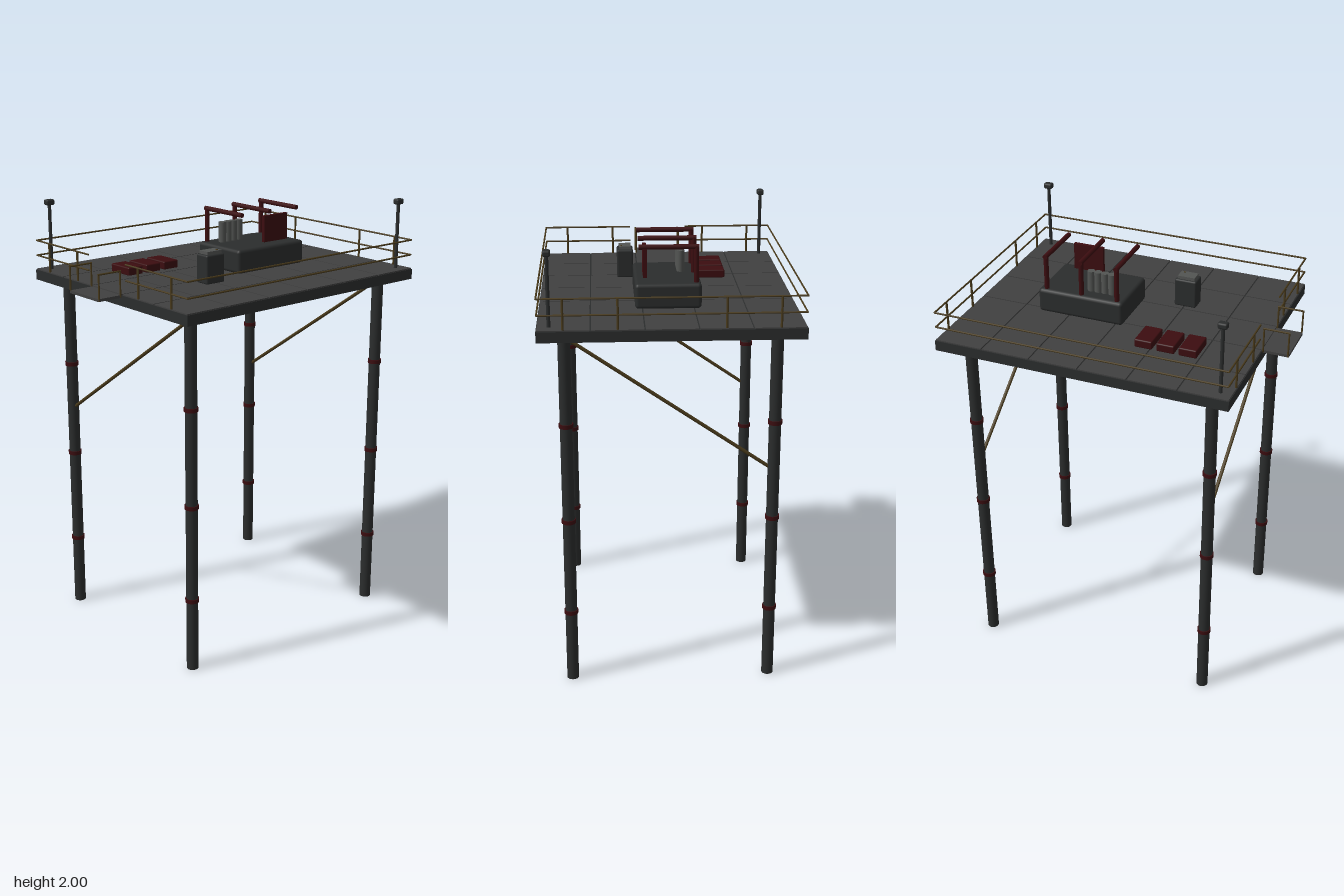
import * as THREE from 'three';
import { RoundedBoxGeometry } from 'three/addons/geometries/RoundedBoxGeometry.js';

const mat = (name, color) => {
  const m = new THREE.MeshStandardMaterial({ color });
  m.name = name;
  return m;
};

export function createModel() {
  const steel = mat('dark steel', 0x2b2d2d);
  const plate = mat('deck grey', 0x404040);
  const grey = mat('pipe grey', 0x535553);
  const red = mat('dark red', 0x3c0d10);
  const olive = mat('dark yellow', 0x4a3b1c);

  const model = new THREE.Group();
  model.name = 'platform';

  const group = (name) => {
    const g = new THREE.Group();
    g.name = name;
    model.add(g);
    return g;
  };
  const add = (parent, name, geo, material, x, y, z) => {
    const m = new THREE.Mesh(geo, material);
    m.name = name;
    m.position.set(x, y, z);
    parent.add(m);
    return m;
  };
  const box = (parent, name, material, w, h, d, x, y, z) =>
    add(parent, name, new THREE.BoxGeometry(w, h, d), material, x, y, z);
  const rounded = (parent, name, material, w, h, d, r, x, y, z) =>
    add(parent, name, new RoundedBoxGeometry(w, h, d, 2, r), material, x, y, z);
  // Round bar between two points
  const bar = (parent, name, material, r, a, b, sides = 8) => {
    const p = new THREE.Vector3(...a), q = new THREE.Vector3(...b);
    const dir = q.clone().sub(p);
    const m = add(parent, name, new THREE.CylinderGeometry(r, r, dir.length(), sides), material, 0, 0, 0);
    m.position.copy(p).add(q).multiplyScalar(0.5);
    m.quaternion.setFromUnitVectors(new THREE.Vector3(0, 1, 0), dir.normalize());
    return m;
  };

  const X0 = -0.61, X1 = 0.725, Z = 0.555, TOP = 1.68;

  // Deck slab with separate floor plates
  const deck = group('deck');
  box(deck, 'deckSlab', steel, X1 - X0, 0.046, Z * 2, (X0 + X1) / 2, 1.652, 0);
  const tw = (X1 - X0) / 6, td = (Z * 2) / 5;
  for (let i = 0; i < 6; i++) for (let j = 0; j < 5; j++) {
    box(deck, 'floorPlate', plate, tw - 0.006, 0.005, td - 0.006,
      X0 + (i + 0.5) * tw, TOP - 0.0025, -Z + (j + 0.5) * td);
  }

  // Legs with collars, and one diagonal brace on each side
  const legs = group('legs');
  for (const x of [-0.505, 0.615]) {
    for (const z of [-0.445, 0.445]) {
      bar(legs, 'leg', steel, 0.0265, [x, 0, z], [x, 1.63, z], 20);
      for (const y of [0.34, 0.785, 1.23]) {
        bar(legs, 'legCollar', red, 0.031, [x, y - 0.009, z], [x, y + 0.009, z], 20);
      }
    }
    bar(legs, 'brace', olive, 0.008, [x, 1.615, 0.435], [x, 1.015, -0.435]);
  }

  // Guard rails: long runs front and back, gap on the right side for the step
  const rails = group('guardRails');
  const rx0 = X0 + 0.006, rx1 = X1 - 0.008, rz = 0.55;
  for (const y of [1.742, 1.811]) {
    for (const z of [-rz, rz]) bar(rails, 'longRail', olive, 0.004, [rx0, y, z], [rx1, y, z], 6);
    bar(rails, 'sideRail', olive, 0.004, [rx1, y, -rz], [rx1, y, rz], 6);
    for (const s of [-1, 1]) bar(rails, 'sideRail', olive, 0.004, [rx0, y, s * rz], [rx0, y, s * 0.135], 6);
  }
  for (const x of [rx0, rx1]) for (const z of [-0.445, -0.222, 0.222, 0.445]) {
    bar(rails, 'railPost', olive, 0.005, [x, TOP, z], [x, 1.811, z], 6);
  }

  // Side landing with a hoop at each end
  const landing = group('sideLanding');
  box(landing, 'landingFloor', plate, 0.118, 0.012, 0.212, -0.667, 1.67, 0);
  for (const z of [-0.106, 0.106]) {
    for (const x of [-0.722, -0.612]) bar(landing, 'hoopPost', olive, 0.004, [x, 1.666, z], [x, 1.78, z], 6);
    bar(landing, 'hoopTop', olive, 0.004, [-0.726, 1.78, z], [-0.608, 1.78, z], 6);
  }

  // Lamp poles on opposite corners
  const lamps = group('lampPoles');
  for (const [x, z] of [[-0.557, -0.503], [0.669, 0.503]]) {
    bar(lamps, 'lampPole', steel, 0.008, [x, TOP, z], [x, 1.98, z], 10);
    rounded(lamps, 'lampHead', steel, 0.042, 0.026, 0.032, 0.008, x, 1.987, z);
  }

  // Machine block with overhead arms, panel and pipe row
  const machine = group('machine');
  rounded(machine, 'machineBase', steel, 0.402, 0.11, 0.285, 0.016, 0.224, 1.733, 0);
  for (const x of [0.056, 0.224, 0.391]) {
    bar(machine, 'armPost', red, 0.011, [x, 1.78, -0.12], [x, 1.945, -0.12], 10);
    bar(machine, 'arm', red, 0.011, [x, 1.941, -0.131], [x, 1.941, 0.125], 10);
  }
  box(machine, 'panel', red, 0.142, 0.122, 0.017, 0.28, 1.858, 0.097);
  for (let i = 0; i < 4; i++) {
    const x = 0.101 + i * 0.033;
    bar(machine, 'pipe', grey, 0.0175, [x, 1.78, -0.064], [x, 1.882, -0.064], 16);
  }

  // Control cabinet
  const cabinet = group('cabinet');
  rounded(cabinet, 'cabinetBody', steel, 0.102, 0.13, 0.074, 0.008, -0.168, 1.743, 0.172);
  box(cabinet, 'cabinetTop', grey, 0.08, 0.016, 0.054, -0.168, 1.814, 0.172);
  box(cabinet, 'cabinetButton', olive, 0.008, 0.004, 0.008, -0.147, 1.823, 0.188);

  // Row of storage cases
  const cases = group('storageCases');
  for (const x of [-0.335, -0.234, -0.133]) {
    rounded(cases, 'storageCase', red, 0.081, 0.038, 0.134, 0.006, x, 1.697, -0.221);
  }

  return model;
}
